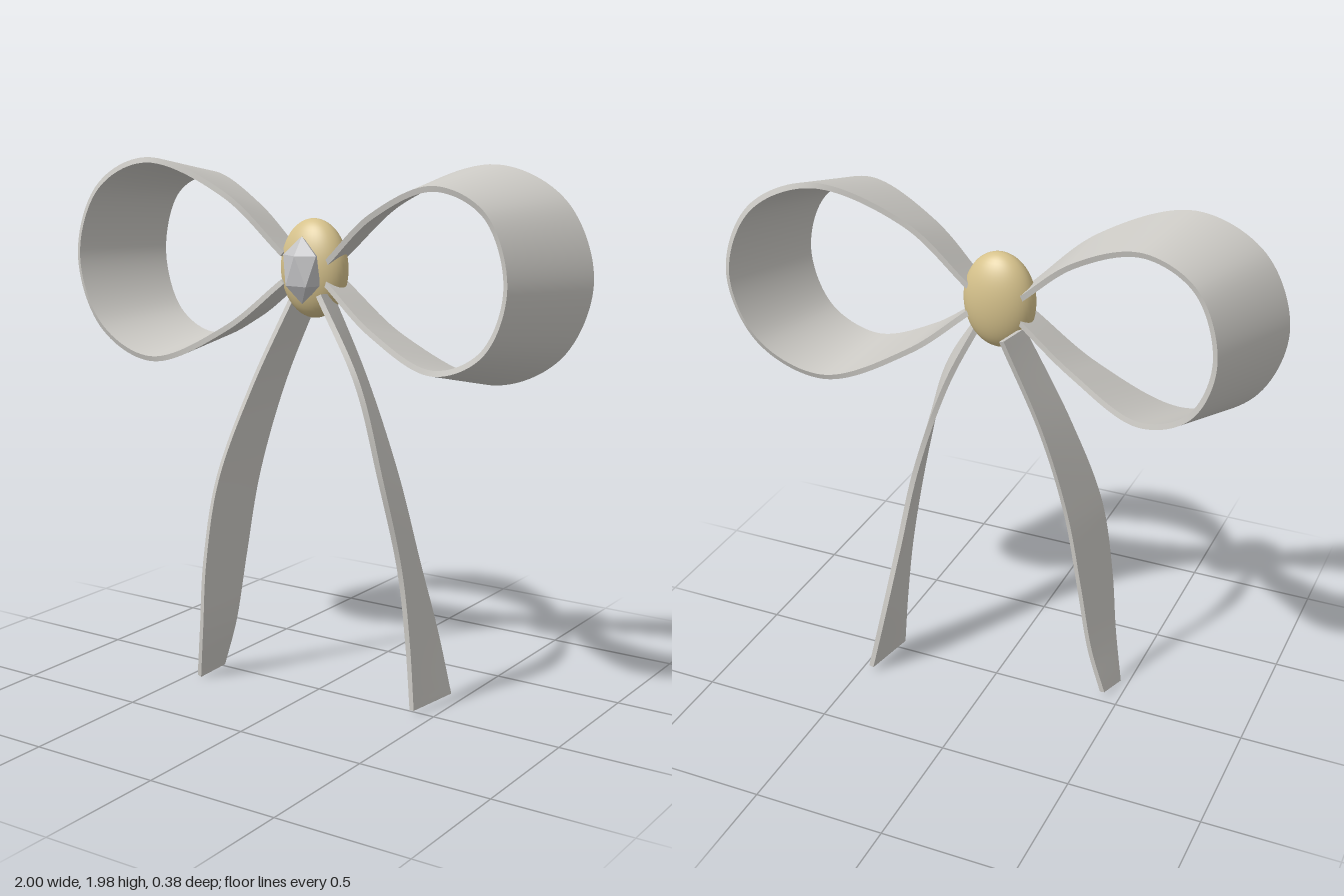
import * as THREE from 'three';

const ribbonMat = new THREE.MeshStandardMaterial({ color: 0xcccac5, side: THREE.DoubleSide });
ribbonMat.name = 'silver ribbon';
const knotMat = new THREE.MeshStandardMaterial({ color: 0xd6c28c });
knotMat.name = 'pale gold';
const gemMat = new THREE.MeshStandardMaterial({ color: 0xc4c4c6, flatShading: true });
gemMat.name = 'grey gem';

// A thin band swept between its front and back edge curves
function ribbon(name, frontPts, backPts, steps, thickness = 0.02) {
  const toCurve = (pts) =>
    new THREE.CatmullRomCurve3(pts.map((p) => new THREE.Vector3(...p)), false, 'centripetal');
  const front = toCurve(frontPts), back = toCurve(backPts);
  const sections = [];
  for (let i = 0; i <= steps; i++) {
    const t = i / steps;
    const a = front.getPoint(t), b = back.getPoint(t);
    const along = front.getTangent(t).add(back.getTangent(t));
    const n = b.clone().sub(a).cross(along).setLength(thickness / 2);
    sections.push([a.clone().add(n), b.clone().add(n), b.clone().sub(n), a.clone().sub(n)]);
  }
  const pos = [], idx = [];
  // four sides with separate vertices, so the edges stay sharp
  for (let k = 0; k < 4; k++) {
    const base = pos.length / 3;
    sections.forEach((s, i) => {
      pos.push(...s[k].toArray(), ...s[(k + 1) % 4].toArray());
      if (i < steps) {
        const o = base + i * 2;
        idx.push(o, o + 1, o + 2, o + 1, o + 3, o + 2);
      }
    });
  }
  // end caps
  for (const s of [sections[0], [...sections[steps]].reverse()]) {
    const o = pos.length / 3;
    s.forEach((v) => pos.push(...v.toArray()));
    idx.push(o, o + 2, o + 1, o, o + 3, o + 2);
  }
  const geo = new THREE.BufferGeometry();
  geo.setAttribute('position', new THREE.Float32BufferAttribute(pos, 3));
  geo.setIndex(idx);
  geo.computeVertexNormals();
  const mesh = new THREE.Mesh(geo, ribbonMat);
  mesh.name = name;
  return mesh;
}

export function createModel() {
  const group = new THREE.Group();
  group.name = 'bow';

  // Loops: a narrow and a wide outline; the two sides flare opposite ways
  const narrow = [[0.09, 1.64], [0.3, 1.815], [0.57, 1.92], [0.76, 1.84], [0.84, 1.61],
    [0.76, 1.39], [0.57, 1.305], [0.3, 1.41], [0.08, 1.57]];
  const wide = [[0.1, 1.66], [0.33, 1.865], [0.65, 1.98], [0.89, 1.87], [0.99, 1.61],
    [0.89, 1.35], [0.65, 1.24], [0.33, 1.375], [0.1, 1.56]];
  const zFront = [0.09, 0.13, 0.17, 0.175, 0.175, 0.175, 0.17, 0.13, 0.09];
  const zBack = [-0.02, -0.045, -0.11, -0.145, -0.16, -0.145, -0.11, -0.045, -0.02];
  const edge = (outline, z, side) => outline.map(([x, y], i) => [side * x, y, z[i]]);
  group.add(ribbon('leftLoop', edge(narrow, zFront, 1), edge(wide, zBack, 1), 96));
  group.add(ribbon('rightLoop', edge(wide, zFront, -1), edge(narrow, zBack, -1), 96));

  // Hanging tails, each with a slight twist
  group.add(ribbon('leftTail',
    [[0.09, 1.53, 0.14], [0.27, 1.235, 0.165], [0.345, 0.91, 0.135], [0.38, 0.55, 0.05],
      [0.405, 0.27, 0.03], [0.425, 0.025, 0.03]],
    [[0.07, 1.52, 0.03], [0.21, 1.235, 0.025], [0.32, 0.88, -0.02], [0.37, 0.55, -0.095],
      [0.41, 0.27, -0.165], [0.46, 0.03, -0.185]], 60));
  group.add(ribbon('rightTail',
    [[-0.1, 1.53, 0], [-0.25, 1.16, 0.08], [-0.35, 0.81, 0.16], [-0.392, 0.49, 0.19],
      [-0.42, 0.22, 0.18], [-0.46, 0.01, 0.147]],
    [[-0.075, 1.53, -0.13], [-0.2, 1.16, -0.06], [-0.28, 0.81, -0.005], [-0.335, 0.49, 0.01],
      [-0.38, 0.22, 0.02], [-0.435, 0.03, 0.026]], 60));

  // Oval knot
  const knot = new THREE.Mesh(new THREE.SphereGeometry(1, 40, 28), knotMat);
  knot.name = 'knot';
  knot.scale.set(0.134, 0.178, 0.086);
  knot.position.set(0, 1.61, 0.03);
  group.add(knot);

  // Faceted gem standing on a point
  const gemGeo = new THREE.IcosahedronGeometry(1, 0);
  gemGeo.rotateZ(Math.atan(2 / (1 + Math.sqrt(5))));
  gemGeo.rotateY(Math.PI / 2);
  gemGeo.scale(0.082, 0.12, 0.055);
  const gem = new THREE.Mesh(gemGeo, gemMat);
  gem.name = 'gem';
  gem.position.set(0, 1.61, 0.11);
  group.add(gem);

  return group;
}
